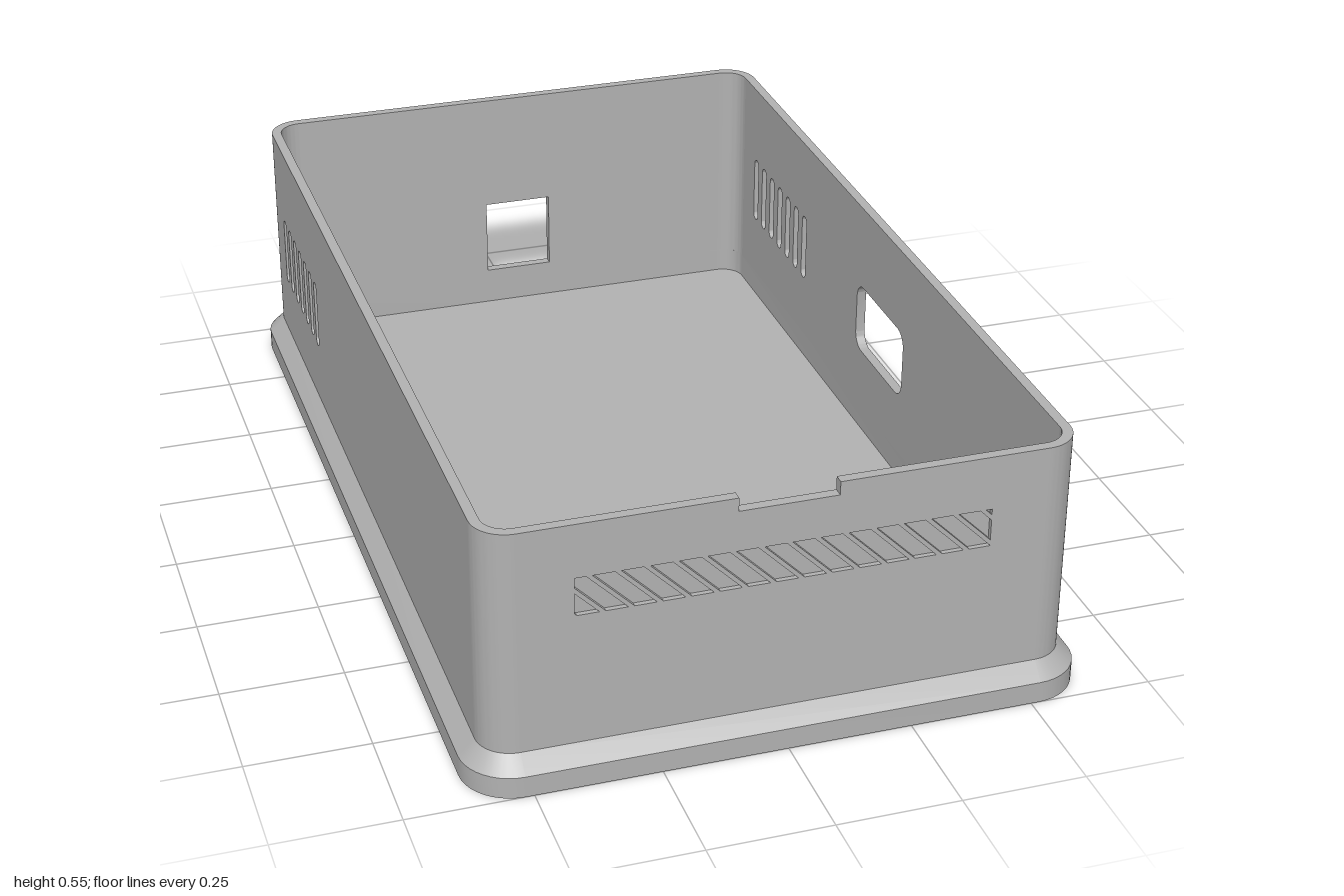
import * as THREE from 'three';
import { toCreasedNormals } from 'three/addons/utils/BufferGeometryUtils.js';

const HX = 0.62, HZ = 1, R = 0.103;          // base footprint
const OUT = 0.033, INN = 0.054;              // insets of the wall's outer and inner faces
const Y0 = 0.078, TOP = 0.55, T = INN - OUT; // wall bottom, rim, thickness
const WX = HX - OUT, WZ = HZ - OUT, WR = R - OUT;

const grey = new THREE.MeshStandardMaterial({ color: 0xb2b2b2 });
grey.name = 'matte grey';

// Rounded rectangle ring at a given inset and height
function ring(inset, y) {
  const r = Math.max(R - inset, 0), pts = [], n = 10;
  const cx = HX - inset - r, cz = HZ - inset - r;
  [[1, 1], [-1, 1], [-1, -1], [1, -1]].forEach(([sx, sz], q) => {
    for (let i = 0; i <= n; i++) {
      const a = (q + i / n) * Math.PI / 2;
      pts.push([sx * cx + r * Math.cos(a), y, sz * cz + r * Math.sin(a)]);
    }
  });
  return pts;
}

// Skin joining successive rings
function loft(profile) {
  const rings = profile.map(([inset, y]) => ring(inset, y));
  const pos = [];
  for (let k = 0; k + 1 < rings.length; k++) {
    const a = rings[k], b = rings[k + 1];
    for (let i = 0; i < a.length; i++) {
      const j = (i + 1) % a.length;
      pos.push(...a[i], ...b[i], ...b[j], ...a[i], ...b[j], ...a[j]);
    }
  }
  const g = new THREE.BufferGeometry();
  g.setAttribute('position', new THREE.Float32BufferAttribute(pos, 3));
  return toCreasedNormals(g, 0.5);
}

const extrude = (shape, depth) => toCreasedNormals(
  new THREE.ExtrudeGeometry(shape, { depth, bevelEnabled: false, curveSegments: 10 }), 0.5);

const polygon = (pts, Type = THREE.Path) => new Type(pts.map(p => new THREE.Vector2(...p)));

function roundedHole(x0, x1, y0, y1, r) {
  const p = new THREE.Path();
  p.absarc(x1 - r, y1 - r, r, 0, Math.PI / 2);
  p.absarc(x0 + r, y1 - r, r, Math.PI / 2, Math.PI);
  p.absarc(x0 + r, y0 + r, r, Math.PI, Math.PI * 1.5);
  p.absarc(x1 - r, y0 + r, r, Math.PI * 1.5, Math.PI * 2);
  p.closePath();
  return p;
}

const panel = half => polygon([[-half, Y0], [half, Y0], [half, TOP], [-half, TOP]], THREE.Shape);

// Keep the part of a polygon where s * x <= s * limit
function clipX(pts, limit, s) {
  const out = [];
  pts.forEach((p, i) => {
    const q = pts[(i + 1) % pts.length];
    const inP = s * p[0] <= s * limit, inQ = s * q[0] <= s * limit;
    if (inP) out.push(p);
    if (inP !== inQ) {
      const t = (limit - p[0]) / (q[0] - p[0]);
      out.push([limit, p[1] + t * (q[1] - p[1])]);
    }
  });
  return out;
}

// Row of seven upright vent slots, starting from the given edge
function ventSlots(shape, dir) {
  for (let i = 0; i < 7; i++) {
    const c = dir * (0.474 + i * 0.0553);
    shape.holes.push(roundedHole(c - 0.0135, c + 0.0135, 0.217, 0.372, 0.0134));
  }
}

export function createModel() {
  const model = new THREE.Group();
  model.name = 'openCase';
  const add = (name, geometry, angle = 0, dist = 0) => {
    const m = new THREE.Mesh(geometry, grey);
    m.name = name;
    m.rotation.y = angle;
    m.position.set(Math.sin(angle) * dist, 0, Math.cos(angle) * dist);
    model.add(m);
    return m;
  };

  // Base with chamfered skirt and recessed floor
  add('base', loft([[HX, 0], [0, 0], [0, 0.045], [OUT, Y0], [INN, Y0], [INN, 0.022], [HX, 0.022]]));

  // Side walls: vents on both, a rounded port on the left one
  const left = panel(WZ - WR);
  ventSlots(left, 1);
  left.holes.push(roundedHole(-0.135, 0.135, 0.21, 0.365, 0.035));
  add('leftWall', extrude(left, T), Math.PI / 2, WX - T);
  const right = panel(WZ - WR);
  ventSlots(right, -1);
  add('rightWall', extrude(right, T), -Math.PI / 2, WX - T);

  // Back wall with a rectangular port
  const back = panel(WX - WR);
  back.holes.push(polygon([[-0.083, 0.106], [0.072, 0.106], [0.072, 0.281], [-0.083, 0.281]]));
  add('backWall', extrude(back, T), Math.PI, WZ - T);

  // Front wall: notched rim, solid inner layer and grooved outer layer
  const w = WX - WR, n = 0.098, ny = 0.522, groove = 0.01;
  const frontShape = () => polygon([[-w, Y0], [w, Y0], [w, TOP], [n, TOP], [n, ny],
    [-n, ny], [-n, TOP], [-w, TOP]], THREE.Shape);
  add('frontWallInner', extrude(frontShape(), T - groove), 0, WZ - T);
  const outer = frontShape(), lo = 0.357, hi = 0.437;
  for (let k = -2; k <= 14; k++) {
    const x = -0.376 + k * 0.0549, d = hi - lo;
    let pts = [[x, hi], [x + d, lo], [x + d + 0.043, lo], [x + 0.043, hi]];
    pts = clipX(clipX(pts, 0.405, 1), -0.41, -1);
    if (pts.length > 2) outer.holes.push(polygon(pts));
  }
  add('frontWallGrooved', extrude(outer, groove), 0, WZ - groove);

  // Rounded corner posts
  const arc = new THREE.Shape();
  arc.absarc(0, 0, WR, 0, Math.PI / 2, false);
  arc.absarc(0, 0, WR - T, Math.PI / 2, 0, true);
  arc.closePath();
  const post = extrude(arc, TOP - Y0).rotateX(-Math.PI / 2).translate(0, Y0, 0);
  [[1, -1], [-1, -1], [-1, 1], [1, 1]].forEach(([sx, sz], i) => {
    const m = add('cornerPost', post, i * Math.PI / 2);
    m.position.set(sx * (WX - WR), 0, sz * (WZ - WR));
  });
  return model;
}
